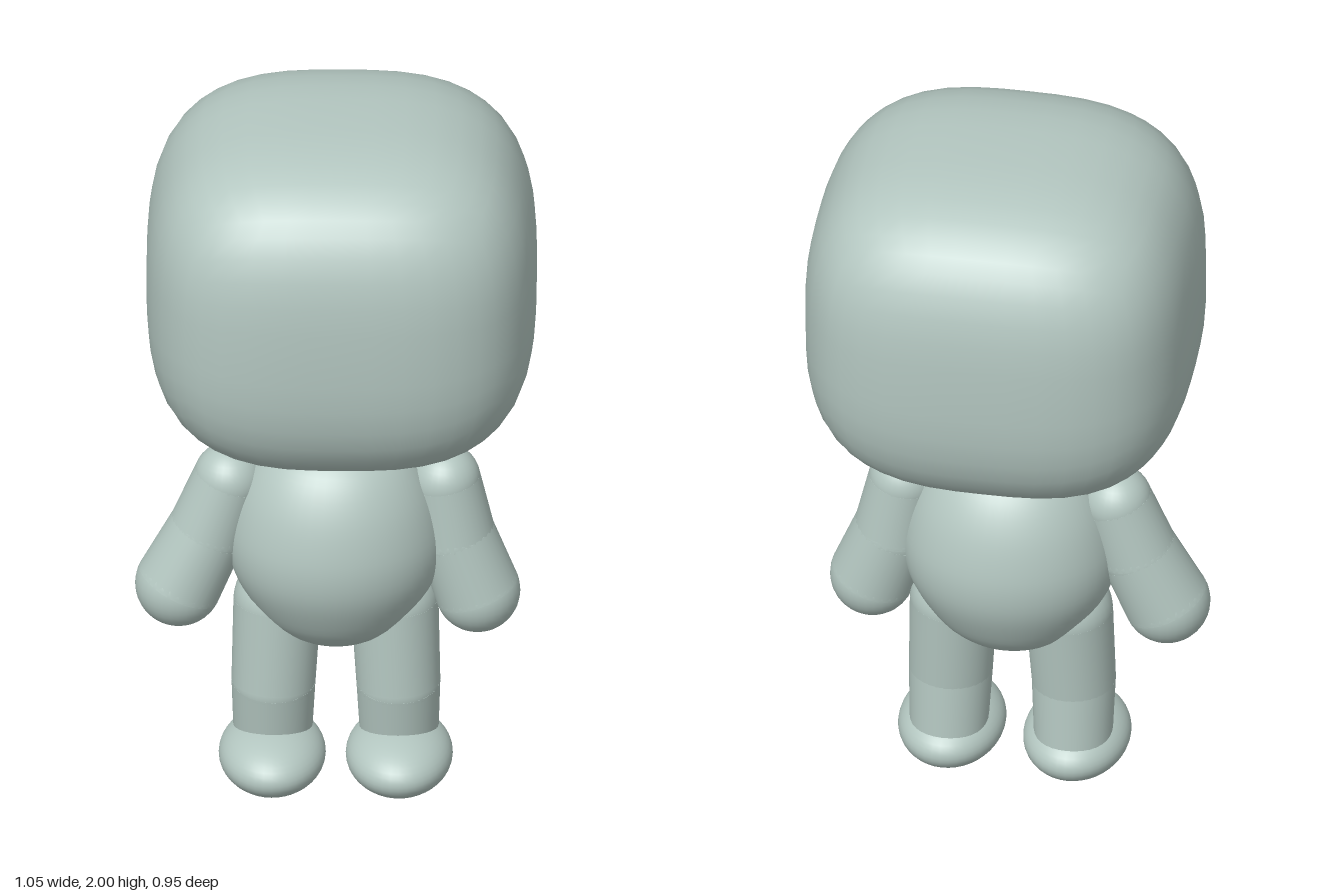
import * as THREE from 'three';
import { mergeVertices } from 'three/addons/utils/BufferGeometryUtils.js';

const V = (x, y, z) => new THREE.Vector3(x, y, z);

export function createModel() {
  const model = new THREE.Group();
  model.name = 'bigHeadFigure';
  const clay = new THREE.MeshStandardMaterial({ color: 0xb3c6c0 });
  clay.name = 'sage clay';

  function add(parent, name, geometry, position = V(0, 0, 0)) {
    const mesh = new THREE.Mesh(geometry, clay);
    mesh.name = name;
    mesh.position.copy(position);
    parent.add(mesh);
    return mesh;
  }

  // Tapered tube running from a to b
  function segment(parent, name, a, b, ra, rb) {
    const dir = b.clone().sub(a);
    const geometry = new THREE.CylinderGeometry(rb, ra, dir.length(), 32, 1);
    const mesh = add(parent, name, geometry, a.clone().add(b).multiplyScalar(0.5));
    mesh.quaternion.setFromUnitVectors(V(0, 1, 0), dir.normalize());
  }

  // Two-part limb with ball joints; each joint is [position, radius]
  function limb(name, joints, labels) {
    const group = new THREE.Group();
    group.name = name;
    joints.forEach(([p, r], i) => {
      add(group, labels.balls[i], new THREE.SphereGeometry(r, 32, 20), p);
      if (i) segment(group, labels.tubes[i - 1], joints[i - 1][0], p, joints[i - 1][1], r);
    });
    model.add(group);
    return group;
  }

  // Head: a box grid pushed onto a soft superellipsoid
  const cube = new THREE.BoxGeometry(2, 2, 2, 12, 12, 12);
  cube.deleteAttribute('uv');
  cube.deleteAttribute('normal');
  const headGeometry = mergeVertices(cube);
  const pos = headGeometry.attributes.position;
  const n = 3;
  for (let i = 0; i < pos.count; i++) {
    const p = V(0, 0, 0).fromBufferAttribute(pos, i);
    const s = Math.pow(Math.abs(p.x) ** n + Math.abs(p.y) ** n + Math.abs(p.z) ** n, -1 / n);
    pos.setXYZ(i, p.x * s * 0.51, p.y * s * 0.475, p.z * s * 0.475);
  }
  headGeometry.computeVertexNormals();
  add(model, 'head', headGeometry, V(0.015, 1.525, 0));

  // Neck
  add(model, 'neck', new THREE.CylinderGeometry(0.105, 0.105, 0.16, 32), V(0.003, 1.04, 0));

  // Egg-shaped torso, slightly flattened front to back
  const profile = new THREE.SplineCurve([
    [0, 0.41], [0.1, 0.43], [0.18, 0.485], [0.235, 0.56], [0.273, 0.64], [0.285, 0.72],
    [0.275, 0.8], [0.25, 0.88], [0.21, 0.95], [0.16, 0.998], [0.1, 1.02], [0, 1.024],
  ].map(([x, y]) => new THREE.Vector2(x, y)));
  const outline = profile.getPoints(36);
  outline.forEach((p) => { p.x = Math.max(p.x, 0); });
  add(model, 'torso', new THREE.LatheGeometry(outline, 48)).scale.z = 0.86;

  // Arms: the right one swings out further
  const armLabels = { balls: ['shoulder', 'elbow', 'hand'], tubes: ['upperArm', 'forearm'] };
  limb('leftArm', [
    [V(0.285, 0.893, 0), 0.093], [V(0.312, 0.725, 0.003), 0.105], [V(0.37, 0.562, 0.012), 0.112],
  ], armLabels);
  limb('rightArm', [
    [V(-0.28, 0.893, 0), 0.093], [V(-0.335, 0.735, 0.003), 0.104], [V(-0.411, 0.576, 0.01), 0.114],
  ], armLabels);

  // Legs with oval feet
  const legLabels = { balls: ['hip', 'knee', 'ankle'], tubes: ['thigh', 'shin'] };
  for (const [side, sign] of [['left', 1], ['right', -1]]) {
    const leg = limb(side + 'Leg', [
      [V(sign * 0.153, 0.525, 0), 0.115],
      [V(sign * 0.163, 0.29, 0.015), 0.11],
      [V(sign * 0.165, 0.12, -0.004), 0.103],
    ], legLabels);
    const foot = add(leg, 'foot', new THREE.SphereGeometry(1, 40, 24), V(sign * 0.166, 0.088, 0.05));
    foot.scale.set(0.14, 0.088, 0.187);
  }

  return model;
}
